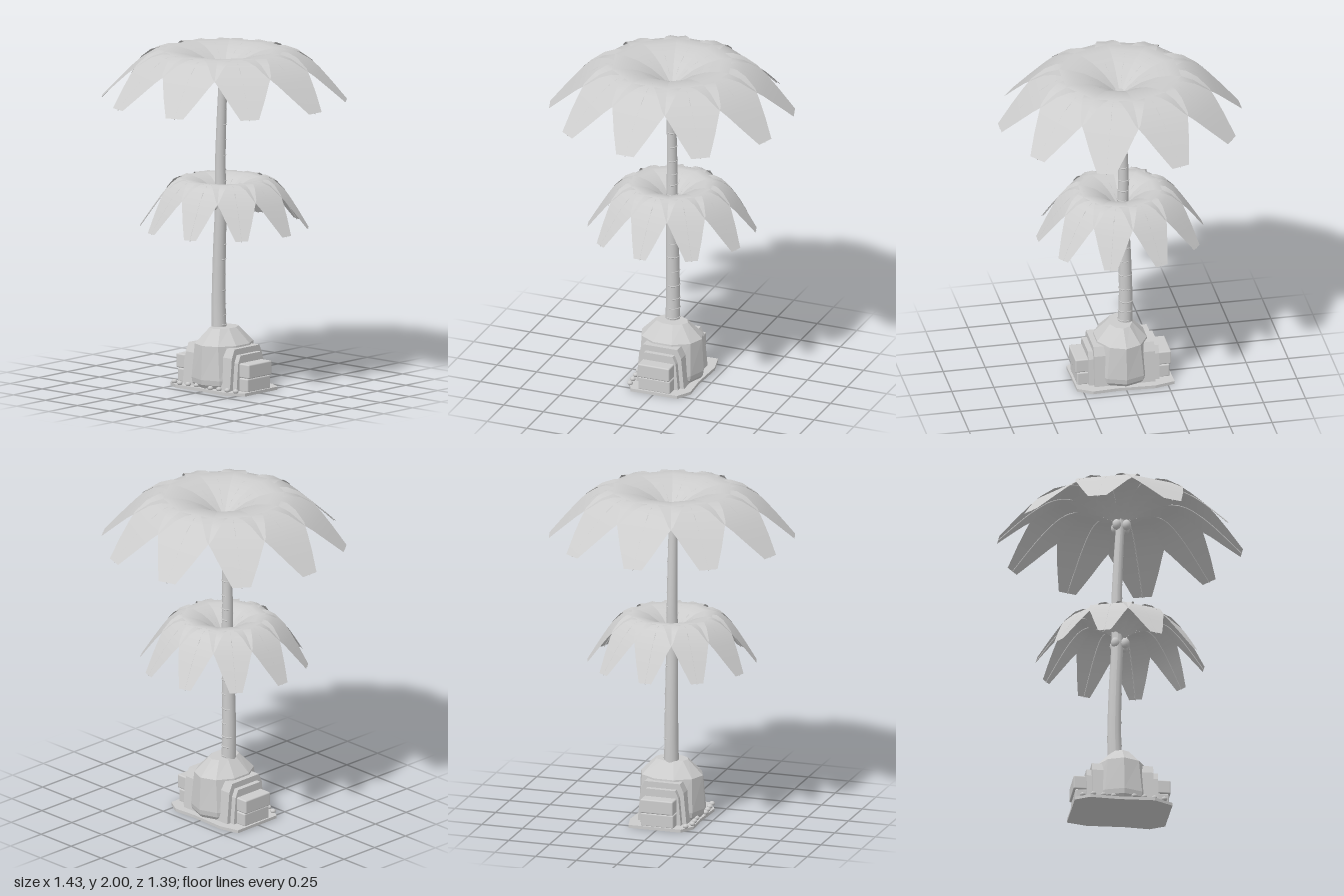
import * as THREE from 'three';
import { RoundedBoxGeometry } from 'three/addons/geometries/RoundedBoxGeometry.js';

const stone = new THREE.MeshStandardMaterial({ color: 0xcccccc });
stone.name = 'light grey';
stone.side = THREE.DoubleSide;

function add(parent, name, geometry, x = 0, y = 0, z = 0) {
  const mesh = new THREE.Mesh(geometry, stone);
  mesh.name = name;
  mesh.position.set(x, y, z);
  parent.add(mesh);
  return mesh;
}

// Frond stations: distance from trunk, height below crest, half width
const STATIONS = [
  [0.0, -0.15, 0.012], [0.05, -0.105, 0.04], [0.12, -0.055, 0.085], [0.2, -0.018, 0.14],
  [0.28, -0.001, 0.178], [0.34, 0, 0.181], [0.41, -0.022, 0.181], [0.49, -0.075, 0.175],
  [0.55, -0.125, 0.145], [0.62, -0.192, 0.11], [0.715, -0.287, 0.055],
];

// A flat-section leaf that rises from the trunk and droops to a blunt tip
function frondGeometry(scale) {
  const pos = [], index = [];
  STATIONS.forEach(([r, y, w], i) => {
    for (const s of [-1, 0, 1]) pos.push(r * scale, y, s * w * scale);
    if (!i) return;
    for (let k = 0; k < 2; k++) {
      const a = (i - 1) * 3 + k, b = a + 3;
      index.push(a, a + 1, b, a + 1, b + 1, b);
    }
  });
  const g = new THREE.BufferGeometry();
  g.setAttribute('position', new THREE.Float32BufferAttribute(pos, 3));
  g.setIndex(index);
  g.computeVertexNormals();
  return g;
}

function makeCanopy(name, crestY, scale, cx) {
  const canopy = new THREE.Group();
  canopy.name = name;
  canopy.position.y = crestY;
  const leaf = frondGeometry(scale);
  const spine = new THREE.CatmullRomCurve3(
    STATIONS.map(([r, y]) => new THREE.Vector3(r * scale, y - 0.004, 0)));
  const rib = new THREE.TubeGeometry(spine, 20, 0.003, 4);
  for (let i = 0; i < 10; i++) {
    const frond = new THREE.Group();
    frond.name = 'frond';
    frond.rotation.y = i * Math.PI / 5;
    add(frond, 'leaf', leaf);
    add(frond, 'midrib', rib);
    canopy.add(frond);
  }
  // Coconuts hang around the trunk under the fronds
  const nut = new THREE.SphereGeometry(0.026, 14, 10);
  for (const sx of [-1, 1]) for (const sz of [-1, 1]) {
    add(canopy, 'coconut', nut, cx + sx * 0.029, -0.16, sz * 0.028).scale.y = 1.25;
  }
  return canopy;
}

// Gently bent, tapering trunk with raised bark ridges
function makeTrunk() {
  const trunk = new THREE.Group();
  trunk.name = 'trunk';
  const path = new THREE.CatmullRomCurve3([
    [-0.03, 0.3], [-0.035, 0.5], [-0.029, 0.8], [-0.018, 1.08], [-0.022, 1.3], [-0.012, 1.6], [0.003, 1.88],
  ].map(([x, y]) => new THREE.Vector3(x, y, 0.008)));
  const radius = t => 0.044 - 0.019 * t;
  const rows = 28, sides = 16;
  const g = new THREE.CylinderGeometry(1, 1, 1, sides, rows);
  const p = g.attributes.position;
  for (let i = 0; i < p.count; i++) {
    const t = p.getY(i) + 0.5, c = path.getPoint(t), r = radius(t);
    p.setXYZ(i, c.x + p.getX(i) * r, c.y, c.z + p.getZ(i) * r);
  }
  g.computeVertexNormals();
  add(trunk, 'stem', g);
  for (let i = 0; i < 17; i++) {
    const t = 0.06 + i * 0.05, c = path.getPoint(t);
    const ridge = add(trunk, 'barkRidge', new THREE.TorusGeometry(radius(t), 0.004, 5, 12, 2.4), c.x, c.y, c.z);
    ridge.rotation.set(-Math.PI / 2, 0, -0.5 + (i * 7 % 5) * 0.2);
  }
  return trunk;
}

// Faceted planter: stacked rings of [height, half width x, half depth z]
function makePlanter() {
  const rings = [[0.36, 0.07, 0.1], [0.27, 0.155, 0.19], [0.07, 0.185, 0.2], [0.04, 0.18, 0.195], [0.02, 0.165, 0.18]];
  const g = new THREE.CylinderGeometry(1, 1, 1, 10, rings.length - 1);
  const p = g.attributes.position;
  for (let i = 0; i < p.count; i++) {
    const [y, rx, rz] = rings[Math.round((0.5 - p.getY(i)) * (rings.length - 1))];
    p.setXYZ(i, p.getX(i) * rx, y, p.getZ(i) * rz);
  }
  const flat = g.toNonIndexed();
  flat.computeVertexNormals();
  return flat;
}

function makeBase() {
  const base = new THREE.Group();
  base.name = 'base';
  add(base, 'planter', makePlanter());

  // Ground slab with an uneven outline
  const slab = new THREE.Shape([
    [-0.29, 0.17], [-0.17, 0.2], [0.05, 0.19], [0.2, 0.2], [0.285, 0.15],
    [0.29, -0.14], [0.18, -0.2], [-0.04, -0.19], [-0.2, -0.2], [-0.285, -0.15],
  ].map(([x, y]) => new THREE.Vector2(x, y)));
  const slabGeo = new THREE.ExtrudeGeometry(slab, { depth: 0.018, bevelEnabled: false });
  slabGeo.rotateX(-Math.PI / 2);
  add(base, 'groundSlab', slabGeo);

  // Pebbles along the front edge
  const pebble = new THREE.IcosahedronGeometry(0.017, 1);
  for (let i = 0; i < 9; i++) {
    add(base, 'pebble', pebble, -0.24 + i * 0.06, 0.028, 0.165 + (i * 3 % 4) * 0.007).scale.y = 0.8;
  }

  // Stepped side arch with two stacked blocks, mirrored left and right
  const arch = (w, h, depth) => {
    const s = new THREE.Shape([
      [-w, 0.015], [w, 0.015], [w * 0.88, h * 0.8], [w * 0.72, h], [-w * 0.72, h], [-w * 0.88, h * 0.8],
    ].map(([x, y]) => new THREE.Vector2(x, y)));
    const g = new THREE.ExtrudeGeometry(s, { depth, bevelEnabled: false });
    g.rotateY(Math.PI / 2);
    return g;
  };
  for (const s of [-1, 1]) {
    const side = new THREE.Group();
    side.name = s > 0 ? 'leftSteps' : 'rightSteps';
    side.rotation.y = s > 0 ? 0 : Math.PI;
    add(side, 'outerArch', arch(0.15, 0.26, 0.09), 0.09);
    add(side, 'innerArch', arch(0.125, 0.225, 0.12), 0.09);
    add(side, 'lowerBlock', new RoundedBoxGeometry(0.15, 0.08, 0.2, 2, 0.008), 0.2, 0.054, 0);
    add(side, 'upperBlock', new RoundedBoxGeometry(0.155, 0.084, 0.2, 2, 0.008), 0.208, 0.138, 0);
    base.add(side);
  }
  return base;
}

export function createModel() {
  const model = new THREE.Group();
  model.name = 'palmTree';
  model.add(
    makeBase(),
    makeTrunk(),
    makeCanopy('lowerCanopy', 1.24, 0.687, -0.002),
    makeCanopy('upperCanopy', 2.0, 1, 0.006),
  );
  return model;
}
